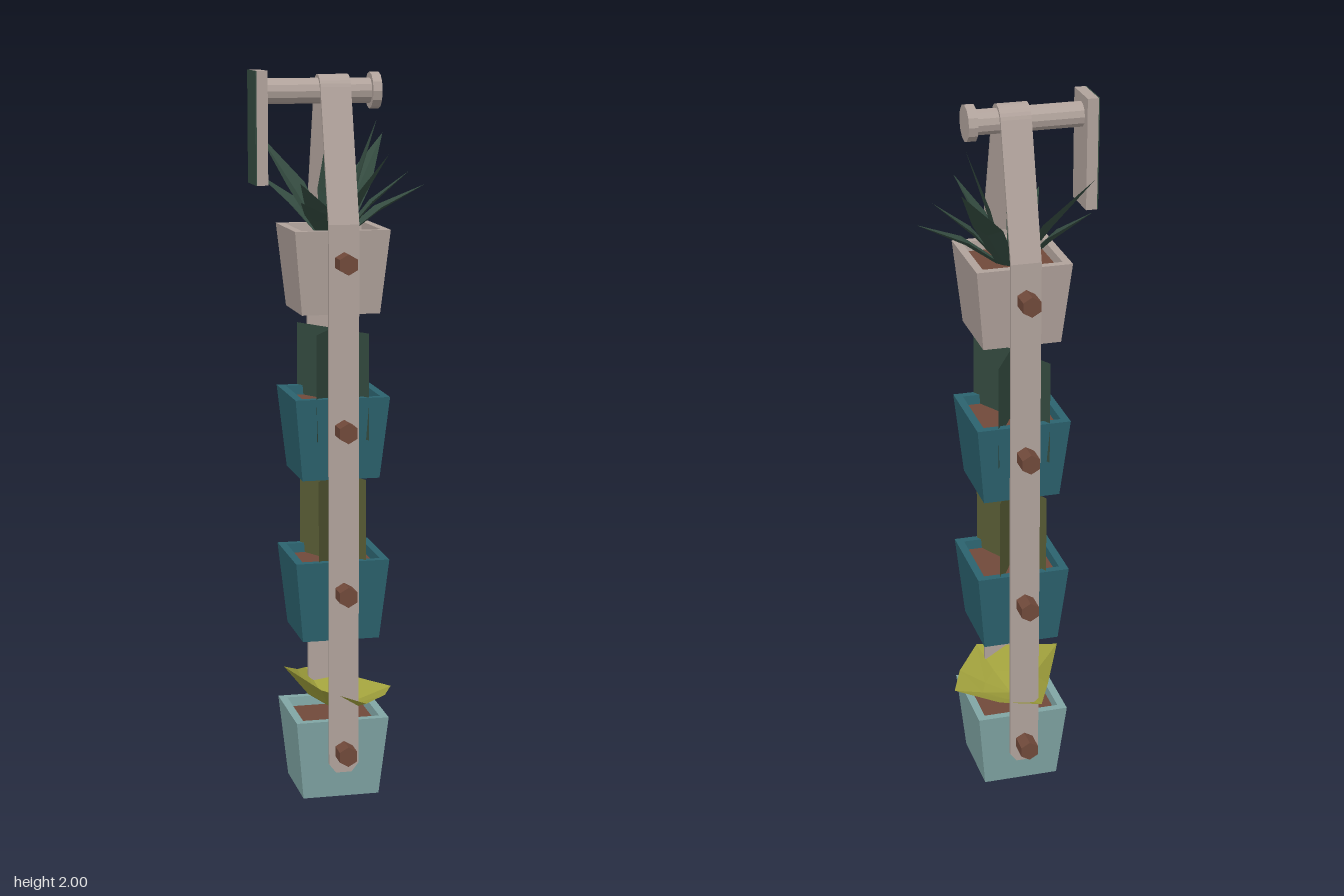
import * as THREE from 'three';

const mat = (name, color, double = false) => {
  const m = new THREE.MeshStandardMaterial({ color, flatShading: true });
  m.name = name;
  if (double) m.side = THREE.DoubleSide;
  return m;
};

const CX = -0.023; // axis of the hanging column

export function createModel() {
  const root = new THREE.Group();
  root.name = 'hangingPlanter';
  const M = {
    tan: mat('tan', 0xb0a29b),
    teal: mat('teal', 0x2b626e),
    lightTeal: mat('lightTeal', 0x80a5a4),
    brown: mat('brown', 0x70493a),
    green: mat('darkGreen', 0x344b40, true),
    olive: mat('olive', 0x5a5e36, true),
    lime: mat('yellowGreen', 0xa0a03c, true),
  };
  const add = (name, geo, material, x = 0, y = 0, z = 0, parent = root) => {
    const mesh = new THREE.Mesh(geo, material);
    mesh.name = name;
    mesh.position.set(x, y, z);
    parent.add(mesh);
    return mesh;
  };
  const surface = (points, index) => {
    const g = new THREE.BufferGeometry();
    g.setAttribute('position', new THREE.Float32BufferAttribute(points.flat(), 3));
    g.setIndex(index);
    g.computeVertexNormals();
    return g;
  };

  // Tapered square pots, each with soil and a hexagonal rod through it
  const profile = [[0, 0], [0.107, 0], [0.13, 0.226], [0.108, 0.226], [0.102, 0.17]]
    .map(([r, y]) => new THREE.Vector2(r * Math.SQRT2, y));
  const potGeo = new THREE.LatheGeometry(profile, 4, Math.PI / 4);
  const soilGeo = new THREE.BoxGeometry(0.211, 0.02, 0.211);
  const rodGeo = new THREE.CylinderGeometry(0.028, 0.028, 0.395, 6).rotateX(Math.PI / 2);
  [M.lightTeal, M.teal, M.teal, M.tan].forEach((material, i) => {
    const pot = new THREE.Group();
    pot.name = 'pot' + (i + 1);
    pot.position.set(CX, 0.004 + i * 0.451, 0);
    root.add(pot);
    add('potBody', potGeo, material, 0, 0, 0, pot);
    add('soil', soilGeo, M.brown, 0, 0.19, 0, pot);
    add('rod', rodGeo, M.brown, 0, 0.143, 0, pot);
  });

  // Strap looped over the bar, running down front and back
  const loop = (r, side) => {
    const pts = [[side, 0.11], [side, 1.6]];
    for (let i = 0; i <= 12; i++) {
      const a = 0.25 + (i / 12) * (Math.PI - 0.5);
      pts.push([r * Math.cos(a), 1.945 + r * Math.sin(a)]);
    }
    pts.push([-side, 1.6], [-side, 0.11]);
    return pts;
  };
  const outline = [...loop(0.044, 0.141), ...loop(0.035, 0.132).reverse()]
    .map(([x, y]) => new THREE.Vector2(x, y));
  const strapGeo = new THREE.ExtrudeGeometry(new THREE.Shape(outline), { depth: 0.083, bevelEnabled: false });
  strapGeo.translate(0, 0, -0.0415).rotateY(Math.PI / 2);
  add('strap', strapGeo, M.tan, CX, 0, 0);
  // Clipped lower ends of the strap
  const end = new THREE.Shape([[-0.0415, 0.11], [-0.022, 0.085], [0.022, 0.085], [0.0415, 0.11]]
    .map(([x, y]) => new THREE.Vector2(x, y)));
  const endGeo = new THREE.ExtrudeGeometry(end, { depth: 0.009, bevelEnabled: false });
  for (const z of [0.132, -0.141]) add('strapEnd', endGeo, M.tan, CX, 0, z);

  // Wall bracket: bar, end cap and mounting plate
  const barGeo = (r, length) => new THREE.CylinderGeometry(r, r, length, 12).rotateZ(Math.PI / 2);
  add('bracketBar', barGeo(0.034, 0.3), M.tan, -0.065, 1.945, 0);
  add('barCap', barGeo(0.049, 0.025), M.tan, 0.091, 1.945, 0);
  add('wallPlate', new THREE.BoxGeometry(0.03, 0.3, 0.116), M.tan, -0.225, 1.85, 0.002);
  add('wallPlateBack', new THREE.BoxGeometry(0.003, 0.3, 0.116), M.green, -0.2415, 1.85, 0.002);

  // Crossed upright leaf sheets in the two middle pots
  const crossed = (name, material, y0, y1, halfX, halfZ) => {
    for (const s of [1, -1]) {
      const card = new THREE.PlaneGeometry(2 * Math.hypot(halfX, halfZ), y1 - y0);
      card.rotateY(s * Math.atan2(halfZ, halfX));
      add(name, card, material, CX, (y0 + y1) / 2, 0);
    }
  };
  crossed('uprightLeaves', M.green, 1.015, 1.306, 0.072, 0.128);
  crossed('oliveLeaves', M.olive, 0.63, 0.905, 0.066, 0.123);

  // Shallow tilted rosette in the lowest pot
  const rim = [
    [-0.165, 0.36, 0.012], [-0.1, 0.31, -0.115], [-0.06, 0.292, -0.188], [0.045, 0.28, -0.13],
    [0.15, 0.272, -0.02], [0.11, 0.278, 0.075], [0.03, 0.292, 0.185], [-0.08, 0.315, 0.11],
  ];
  const inner = rim.map(([x, y, z]) => [CX + (x - CX) * 0.5, 0.235 + (y - 0.235) * 0.3, z * 0.5]);
  const faces = [];
  rim.forEach((_, i) => {
    const j = (i + 1) % 8;
    faces.push(i, i + 8, j, j, i + 8, j + 8, i + 8, 16, j + 8);
  });
  add('rosette', surface([...rim, ...inner, [CX, 0.225, 0]], faces), M.lime);

  // Pointed, keeled blades in the top pot
  const blade = (x, y, z, half) => {
    const base = new THREE.Vector3(CX, 1.55, 0);
    const tip = new THREE.Vector3(x, y, z);
    const dir = new THREE.Vector3(x - CX, 0, z).normalize();
    base.addScaledVector(dir, 0.02);
    const mid = base.clone().lerp(tip, 0.45).add(new THREE.Vector3(0, 0.02, 0));
    const row = (p, w) => [-1, 0, 1].map((s) =>
      [p.x - dir.z * w * s, p.y - (s ? 0 : w * 0.45), p.z + dir.x * w * s]);
    const geo = surface([...row(base, half * 0.7), ...row(mid, half), tip.toArray()],
      [0, 1, 3, 1, 4, 3, 1, 2, 4, 2, 5, 4, 3, 4, 6, 4, 5, 6]);
    add('blade', geo, M.green);
  };
  [
    [0.165, 1.82, -0.2, 0.045], [0.24, 1.69, -0.02, 0.032], [0.185, 1.73, 0.02, 0.03],
    [0.11, 1.78, 0.095, 0.034], [0.1, 1.87, 0.0, 0.035], [-0.15, 1.665, 0.19, 0.035],
    [-0.14, 1.71, 0.14, 0.034], [-0.19, 1.825, -0.185, 0.042], [-0.205, 1.72, -0.13, 0.04],
    [-0.05, 1.8, 0.03, 0.03],
  ].forEach((b) => blade(...b));

  return root;
}
